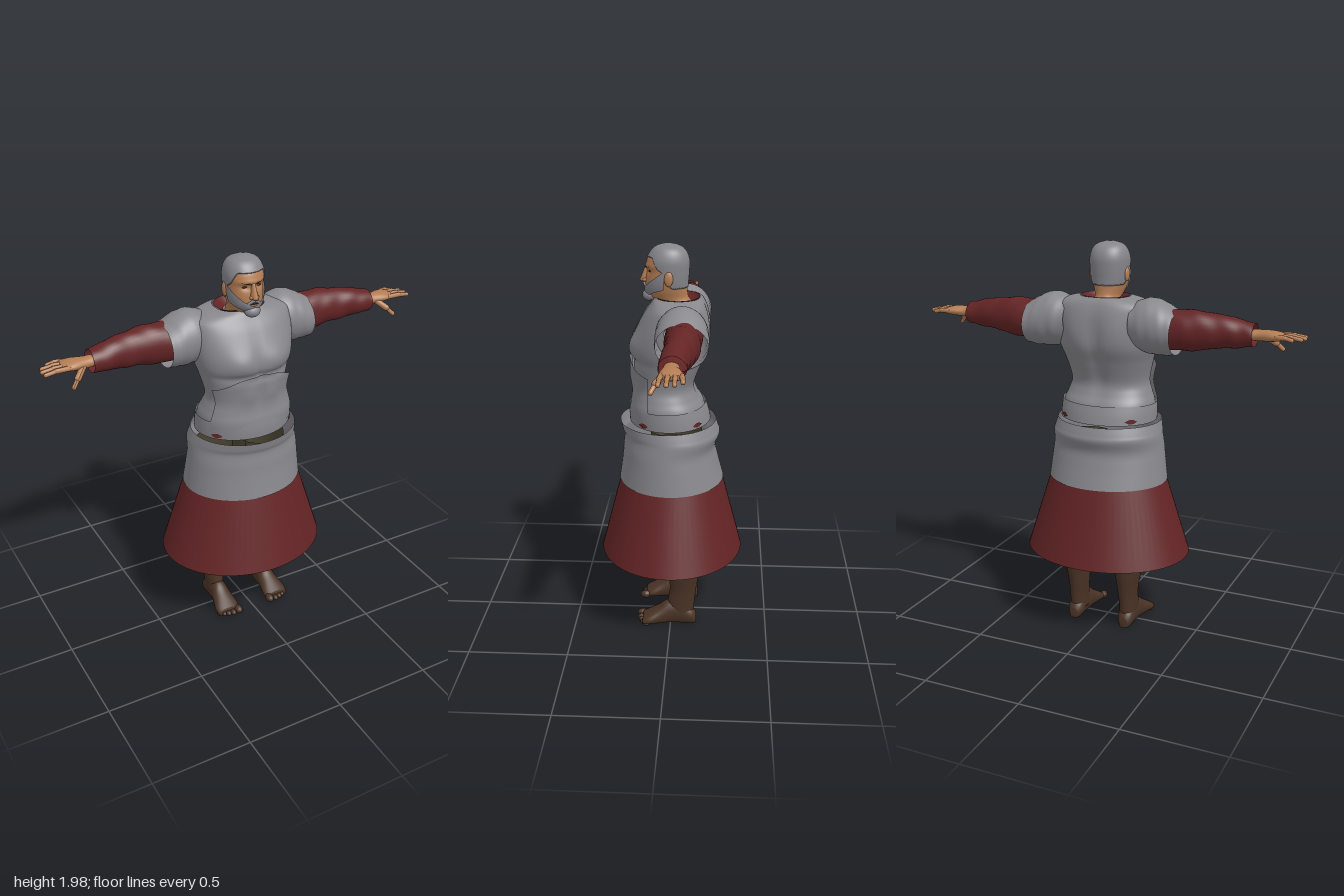
import * as THREE from 'three';

const mat = (name, color, side = THREE.DoubleSide) => {
  const m = new THREE.MeshStandardMaterial({ color, side });
  m.name = name;
  return m;
};
const { sin, cos, abs, sign, PI, exp, min, max } = Math;
const lerp = THREE.MathUtils.lerp;
const bump = (a, s) => exp(-(a * a) / (s * s));

// Surface through rings of points: at(u, v) gives a point, u runs around, v runs along
function loft(at, nu, nv, { closed = true, caps = false, keep = () => true } = {}) {
  const pos = [], idx = [], w = closed ? nu : nu + 1;
  for (let j = 0; j <= nv; j++) for (let i = 0; i < w; i++) pos.push(...at(i / nu, j / nv));
  for (let j = 0; j < nv; j++) for (let i = 0; i < nu; i++) {
    const k = (i + 1) % w, a = j * w + i, b = j * w + k, c = b + w, d = a + w;
    if (keep(pos[a * 3], pos[a * 3 + 1], pos[a * 3 + 2])) idx.push(a, b, c, a, c, d);
  }
  if (caps) for (const j of [0, nv]) {
    const c = [0, 0, 0], n = pos.length / 3;
    for (let i = 0; i < w; i++) for (let k = 0; k < 3; k++) c[k] += pos[(j * w + i) * 3 + k] / w;
    pos.push(...c);
    for (let i = 0; i < w; i++) {
      const a = j * w + i, b = j * w + (i + 1) % w;
      idx.push(...(j ? [n, a, b] : [n, b, a]));
    }
  }
  const g = new THREE.BufferGeometry();
  g.setAttribute('position', new THREE.Float32BufferAttribute(pos, 3));
  g.setIndex(idx);
  g.computeVertexNormals();
  return g;
}

// Smooth interpolation of a table of sections, v from 0 to 1
function section(rows, v) {
  const f = v * (rows.length - 1), i = min(Math.floor(f), rows.length - 2), t = f - i;
  const [a, b, c, d] = [rows[max(i - 1, 0)], rows[i], rows[i + 1], rows[min(i + 2, rows.length - 1)]];
  return b.map((_, k) => b[k] + 0.5 * t * (c[k] - a[k] + t * (2 * a[k] - 5 * b[k] + 4 * c[k] - d[k]
    + t * (3 * (b[k] - c[k]) + d[k] - a[k]))));
}
// Section found by its first value (height)
function sectionAt(rows, y) {
  let i = 0;
  while (i < rows.length - 2 && rows[i + 1][0] < y) i++;
  const t = THREE.MathUtils.clamp((y - rows[i][0]) / (rows[i + 1][0] - rows[i][0]), 0, 1);
  return section(rows, (i + t) / (rows.length - 1));
}
const pw = (a, p) => sign(a) * abs(a) ** p;
// Upright section: [y, halfWidth, zFront, zBack, centreX]
const upright = ([y, hx, zf, zb, cx = 0], t, p = 1, off = 0) => [
  cx + (hx + off) * pw(sin(t), p), y, (zf + zb) / 2 + ((zf - zb) / 2 + off) * pw(cos(t), p)];
const column = (rows, nu, nv, opt, p = 1) => loft((u, v) => upright(section(rows, v), u * 2 * PI, p), nu, nv, opt);
// Section along the arm: [x, y, halfHeight, z, halfDepth]
const arm = (rows, nu, nv, opt, wrinkle = 0) => loft((u, v) => {
  const [x, cy, ry, cz, rz] = section(rows, v), t = u * 2 * PI;
  const k = 1 + wrinkle * sin(v * 23 + 2 * sin(t)) * sin(t * 2 + v * 5);
  return [x, cy + ry * k * cos(t), cz + rz * k * sin(t)];
}, nu, nv, opt);

function mirrored(g) {
  const m = g.clone().scale(-1, 1, 1), a = m.index.array;
  for (let i = 0; i < a.length; i += 3) [a[i], a[i + 1]] = [a[i + 1], a[i]];
  m.computeVertexNormals();
  return m;
}
function capsule(a, b, r) {
  const A = new THREE.Vector3(...a), d = new THREE.Vector3(...b).sub(A);
  const g = new THREE.CapsuleGeometry(r, d.length(), 4, 10);
  g.applyQuaternion(new THREE.Quaternion().setFromUnitVectors(new THREE.Vector3(0, 1, 0), d.clone().normalize()));
  const c = A.addScaledVector(d, 0.5);
  return g.translate(c.x, c.y, c.z);
}
const ball = (x, y, z, rx, ry, rz) => new THREE.SphereGeometry(1, 16, 10).scale(rx, ry, rz).translate(x, y, z);

const TORSO = [[1.11, .235, .195, -.175], [1.19, .232, .195, -.16], [1.24, .215, .185, -.13], [1.3, .2, .18, -.115],
  [1.4, .222, .188, -.15], [1.48, .248, .195, -.183], [1.56, .26, .178, -.187], [1.64, .262, .14, -.18],
  [1.69, .25, .105, -.165], [1.715, .18, .088, -.15], [1.725, .125, .078, -.138]];
const HEAD = [[1.665, .062, .035, -.1], [1.7, .06, .05, -.095], [1.725, .064, .1, -.08], [1.76, .077, .126, -.075],
  [1.8, .087, .128, -.076], [1.85, .091, .122, -.08], [1.9, .092, .122, -.08], [1.94, .079, .1, -.064],
  [1.963, .055, .072, -.035], [1.975, .012, .03, .01]];

export function createModel() {
  const grey = mat('armour grey', 0x88888d), red = mat('dark red cloth', 0x642425), skin = mat('skin', 0xb47d54);
  const hairGrey = mat('grey hair', 0x85858b), brown = mat('dark brown legs', 0x4a3325);
  const olive = mat('olive trousers', 0x4d4733), dark = mat('dark eye', 0x2c1d16);
  const root = new THREE.Group();
  const add = (name, g, m) => {
    const mesh = new THREE.Mesh(g, m);
    mesh.name = name;
    root.add(mesh);
  };
  const pair = (name, g, m) => {
    add(name + 'Left', g, m);
    add(name + 'Right', mirrored(g), m);
  };

  // Torso shell with chest, stomach and back relief, open at the armholes
  const torsoPoint = (t, y, off = 0) => {
    const p = upright(sectionAt(TORSO, y), t, 0.88, off), ax = abs(p[0]);
    if (cos(t) > 0) p[2] += cos(t) * (.022 * bump(ax - .1, .08) * bump(y - 1.5, .06) - .01 * bump(ax, .015) * bump(y - 1.42, .2)
      - .012 * bump(y - 1.425, .018) + .008 * bump(ax - .06, .04) * bump(y - 1.33, .05));
    else p[2] -= cos(t) * (.018 * bump(ax, .035) * bump(y - 1.45, .2) - .01 * bump(ax - .11, .06) * bump(y - 1.56, .08));
    return p;
  };
  add('cuirass', loft((u, v) => torsoPoint(u * 2 * PI, lerp(1.11, 1.725, v)), 72, 60, {
    keep: (x, y, z) => abs(x) < .13 || ((y - 1.6) / .1) ** 2 + ((z + .06) / .09) ** 2 > 1 }), grey);
  add('stomachPlate', loft((u, v) => {
    const t = lerp(-1.15, 1.15, u);
    return torsoPoint(t, lerp(1.14, 1.4 + .035 * cos(t * 2.4), v), .01 + .012 * v);
  }, 40, 20, { closed: false }), grey);
  add('waistFlap', column([[1.105, .25, .212, -.195], [1.15, .25, .214, -.185], [1.195, .247, .21, -.17]], 64, 6), grey);
  add('collar', column([[1.69, .07, .05, -.108], [1.71, .1, .07, -.128], [1.727, .123, .077, -.137]], 40, 6), red);
  // Red cloth showing at the waist flap
  for (const t of [-.95, .95, 2.35, -2.35]) add('waistCloth', loft((u, v) => {
    const a = t + lerp(-.14, .14, u);
    return upright([1.125 + (v - .5) * .024 * sin(u * PI), .25, .213, -.192], a, 1, .004);
  }, 10, 2, { closed: false }), red);

  // Skirts
  add('upperSkirt', column([[.79, .31, .268, -.265], [.9, .298, .252, -.235], [.97, .29, .246, -.222],
    [1.03, .284, .24, -.242], [1.06, .278, .25, -.236], [1.1, .268, .26, -.222]], 72, 30), grey);
  add('lowerSkirt', column([[.4, .43, .363, -.363], [.81, .3, .256, -.254]], 72, 1), red);

  // Sleeves
  pair('shoulderSleeve', arm([[.17, 1.605, .1, -.06, .105], [.22, 1.598, .128, -.06, .12], [.28, 1.595, .135, -.061, .126],
    [.34, 1.582, .122, -.062, .127], [.388, 1.572, .106, -.063, .123]], 40, 20, {}, .015), grey);
  pair('sleeve', arm([[.2, 1.59, .1, -.07, .09], [.39, 1.588, .1, -.068, .086], [.5, 1.592, .093, -.068, .077],
    [.6, 1.594, .08, -.055, .069], [.69, 1.59, .067, -.045, .065], [.76, 1.586, .054, -.04, .062]], 32, 40, {}, .04), red);

  // Hands
  pair('hand', arm([[.75, 1.588, .027, -.038, .036], [.79, 1.588, .027, -.036, .037], [.84, 1.59, .026, -.04, .05],
    [.88, 1.59, .02, -.044, .054], [.9, 1.59, .012, -.045, .05]], 20, 14, { caps: true }), skin);
  [[.985, .006], [.99, -.028], [.98, -.062], [.945, -.094]].forEach(([x, z], i) => {
    const base = [.875, 1.592, .0 - i * .029], mid = [lerp(.875, x, .55), 1.593, lerp(base[2], z, .6)];
    pair('finger', capsule(base, mid, .0125), skin);
    pair('fingertip', capsule(mid, [x, 1.586, z], .0105), skin);
  });
  pair('thumb', capsule([.8, 1.582, -.015], [.845, 1.545, .025], .016), skin);
  pair('thumbTip', capsule([.845, 1.545, .025], [.873, 1.515, .044], .011), skin);

  // Trousers, legs and feet
  pair('trouserLeg', column([[.44, .085, .03, -.165, .14], [.47, .108, .055, -.185, .14], [.52, .1, .045, -.175, .14],
    [.65, .112, .07, -.175, .135], [.85, .13, .1, -.17, .12], [1, .13, .12, -.15, .11]], 28, 24), olive);
  pair('leg', column([[.05, .044, .01, -.12, .142], [.12, .046, .015, -.125, .142], [.2, .052, .004, -.134, .14],
    [.3, .066, .015, -.15, .142], [.4, .08, .022, -.156, .142], [.5, .075, .03, -.15, .14]], 28, 24, { caps: true }), brown);
  const FOOT = [[-.135, .143, .022, .055], [-.11, .143, .04, .09], [-.05, .143, .044, .125], [.01, .143, .047, .125],
    [.06, .146, .056, .092], [.11, .148, .066, .062], [.145, .148, .06, .042]];
  pair('foot', loft((u, v) => {
    const [z, cx, hx, h] = section(FOOT, v), t = u * 2 * PI;
    return [cx - hx * sin(t), max(.004, h / 2 + h * .55 * cos(t)), z];
  }, 28, 24, { caps: true }), brown);
  [[.098, .15, .021], [.131, .155, .015], [.157, .149, .014], [.18, .14, .013], [.2, .125, .012]].forEach(([x, z, r]) =>
    pair('toe', ball(x, r + .002, z, r, r, r * 1.4), brown));

  // Head and neck
  const headPoint = (t, y, off = 0) => upright(sectionAt(HEAD, y), t, 0.95, off);
  add('head', loft((u, v) => {
    const t = u * 2 * PI, y = lerp(1.665, 1.975, v), p = headPoint(t, y);
    if (cos(t) > 0) p[2] += cos(t) * (.006 * bump(y - 1.877, .012) - .012 * bump(abs(p[0]) - .036, .02) * bump(y - 1.852, .014));
    return p;
  }, 56, 60, { caps: true }), skin);
  // Hair: hairline high in front, dropping to the sideburns and nape
  add('hair', loft((u, v) => {
    const t = u * 2 * PI, c = cos(t);
    const low = c > .3 ? lerp(1.86, 1.92, THREE.MathUtils.smoothstep(c, .3, .75)) : lerp(1.775, 1.86, THREE.MathUtils.smoothstep(c, -.3, .3));
    const y = lerp(low, 1.975, v), p = headPoint(t, y, .005);
    p[1] += .006 * v;
    return p;
  }, 64, 24, { caps: true }), hairGrey);
  add('beard', loft((u, v) => {
    const t = lerp(-1.5, 1.5, u), s = abs(t) / 1.5;
    const p = headPoint(t, lerp(lerp(1.722, 1.77, s), lerp(1.762, 1.865, s ** 1.3), v), .007);
    p[2] += .012 * bump(t, .4) * (1 - v);
    return p;
  }, 48, 12, { closed: false }), hairGrey);
  add('beardTip', ball(0, 1.732, .112, .04, .03, .033), hairGrey);
  pair('moustache', capsule([.004, 1.79, .135], [.036, 1.768, .118], .007), hairGrey);
  add('mouth', ball(0, 1.772, .126, .022, .004, .009), dark);

  // Face features and ears
  add('nose', loft((u, v) => {
    const t = u * 2 * PI, w = lerp(.02, .008, v);
    return [w * sin(t), lerp(1.8, 1.872, v), .122 + lerp(.036, .008, v) * cos(t)];
  }, 16, 8, { caps: true }), skin);
  pair('nostril', ball(.014, 1.806, .13, .01, .009, .013), skin);
  pair('eye', ball(.036, 1.853, .104, .014, .0045, .006), dark);
  pair('eyebrow', capsule([.016, 1.87, .126], [.052, 1.876, .108], .0035), dark);
  pair('ear', ball(.093, 1.825, .012, .012, .036, .022).rotateY(0), skin);
  return root;
}
